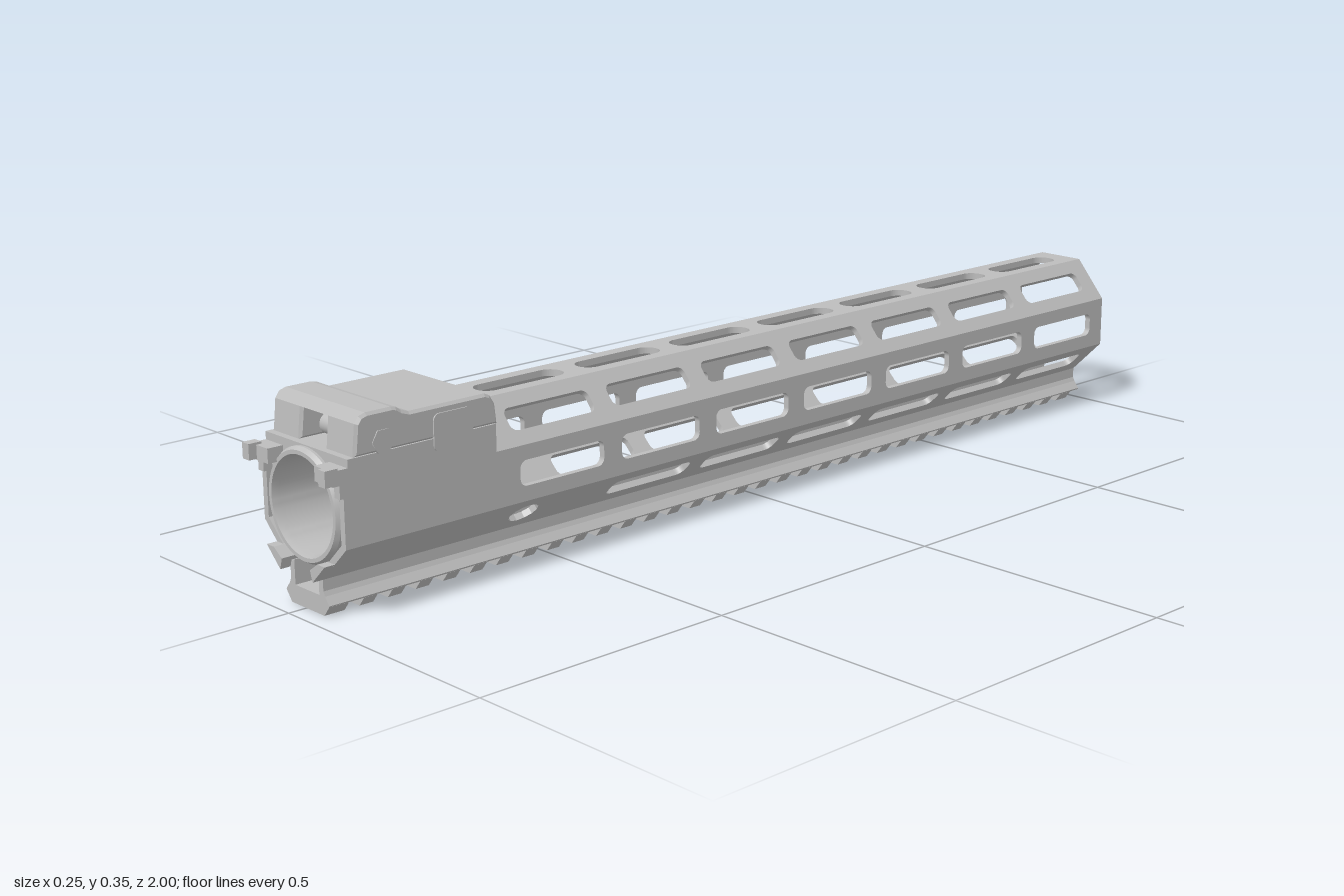
import * as THREE from 'three';
import { toCreasedNormals } from 'three/addons/utils/BufferGeometryUtils.js';

const metal = new THREE.MeshStandardMaterial({ color: 0xbcbcbc });
metal.name = 'grey metal';

const FRONT = 0.965, BACK = -1, WALL = 0.012, AXIS_Y = 0.177;

export function createModel() {
  const group = new THREE.Group();
  group.name = 'handguard';
  const body = new THREE.Group();
  body.name = 'body';
  body.position.x = 0.005;
  group.add(body);

  const add = (name, geo) => {
    const mesh = new THREE.Mesh(geo, metal);
    mesh.name = name;
    body.add(mesh);
  };
  const box = (name, x0, x1, y0, y1, z0, z1) => {
    const g = new THREE.BoxGeometry(Math.abs(x1 - x0), y1 - y0, z1 - z0);
    add(name, g.translate((x0 + x1) / 2, (y0 + y1) / 2, (z0 + z1) / 2));
  };
  const polygon = pts => new THREE.Shape(pts.map(p => new THREE.Vector2(...p)));

  // cross-section in x,y drawn out along z
  const alongZ = (name, shape, z0, z1) => {
    const g = new THREE.ExtrudeGeometry(shape, { depth: z1 - z0, bevelEnabled: false });
    add(name, g.translate(0, 0, z0));
  };
  // profile in z,y drawn out along x, with small chamfers on both ends
  const alongX = (name, shape, x0, x1, bevel = 0) => {
    const g = new THREE.ExtrudeGeometry(shape, {
      depth: x1 - x0 - 2 * bevel, bevelEnabled: bevel > 0, bevelSegments: 1,
      bevelSize: bevel, bevelThickness: bevel, bevelOffset: -bevel, curveSegments: 6,
    });
    add(name, g.rotateY(-Math.PI / 2).translate(x1 - bevel, 0, 0));
  };
  const roundedRect = (path, cx, cy, w, h, r) => {
    const x = w / 2 - r, y = h / 2 - r, q = Math.PI / 2;
    path.absarc(cx + x, cy + y, r, 0, q);
    path.absarc(cx - x, cy + y, r, q, 2 * q);
    path.absarc(cx - x, cy - y, r, 2 * q, 3 * q);
    path.absarc(cx + x, cy - y, r, 3 * q, 4 * q);
    path.closePath();
    return path;
  };
  const cylinderX = (name, r, x0, x1, y, z, sides = 24, rEnd = r) => {
    const g = new THREE.CylinderGeometry(r, rEnd, x1 - x0, sides);
    add(name, g.rotateZ(-Math.PI / 2).translate((x0 + x1) / 2, y, z));
  };

  // slotted wall panel between two corners of the octagon
  const slotCentres = Array.from({ length: 7 }, (_, i) => 0.511 - i * 0.2295);
  const panel = (name, a, b, front, slotWidth, radius, roundFront) => {
    const u = new THREE.Vector3(b[0] - a[0], b[1] - a[1], 0);
    const w = u.length();
    u.normalize();
    const shape = polygon([[0, BACK], [w, BACK], [w, front], [0, front]]);
    slotCentres.forEach((z, i) => {
      const hole = new THREE.Path();
      if (roundFront && i === 0) hole.absellipse(w / 2, 0.573, 0.026, 0.03, 0, Math.PI * 2);
      else roundedRect(hole, w / 2, z, slotWidth, 0.188, radius);
      shape.holes.push(hole);
    });
    const g = new THREE.ExtrudeGeometry(shape, { depth: WALL, bevelEnabled: false, curveSegments: 6 });
    g.translate(0, 0, -WALL);
    const m = new THREE.Matrix4().makeBasis(u, new THREE.Vector3(0, 0, 1), new THREE.Vector3(u.y, -u.x, 0));
    m.setPosition(a[0], a[1], 0);
    add(name, g.applyMatrix4(m));
  };
  const right = [[0.046, 0.062], [0.115, 0.129], [0.115, 0.229], [0.05, 0.305]];
  const corners = [...right, ...right.map(([x, y]) => [-x, y]).reverse()];
  const widths = [0.044, 0.046, 0.044, 0.05, 0.044, 0.046, 0.044];
  const names = ['leftLowerWall', 'leftWall', 'leftUpperWall', 'topWall', 'rightUpperWall', 'rightWall', 'rightLowerWall'];
  names.forEach((name, i) => {
    const upper = i > 1 && i < 5;
    panel(name, corners[i], corners[i + 1], upper ? 0.86 : FRONT, widths[i], i === 3 ? 0.024 : 0.014, i === 0 || i === 6);
  });

  // rail channel under the tube
  const outer = [[0.046, 0.068], [0.046, 0.042], [0.05, 0.034], [0.061, 0.02], [0.0595, 0.017]];
  const inner = [[0.034, 0.033], [0.034, 0.077]];
  const half = [...outer.slice().reverse(), ...inner.slice().reverse()];
  const flip = pts => pts.map(([x, y]) => [-x, y]).reverse();
  alongZ('railChannel', polygon([...half, ...flip(half)]), BACK, FRONT);

  // rail teeth, the end ones longer
  const tooth = polygon([[-0.046, 0], [0.046, 0], [0.06, 0.0175], [-0.06, 0.0175]]);
  for (let i = 0; i < 34; i++) {
    const z1 = 0.953 - i * 0.0574;
    alongZ('railTooth', tooth, z1 - (i === 33 ? 0.034 : 0.0275), i === 0 ? FRONT : z1);
  }

  // barrel nut: a stepped ring inside the front
  const nut = [
    [0.07, 0.63], [0.094, 0.63], [0.099, 0.636], [0.099, 0.96], [0.094, 0.968],
    [0.087, 0.968], [0.084, 0.955], [0.084, 0.86], [0.073, 0.859], [0.07, 0.85], [0.07, 0.63],
  ].map(p => new THREE.Vector2(...p));
  const nutGeo = new THREE.LatheGeometry(nut, 64).rotateX(Math.PI / 2).translate(0, AXIS_Y, 0);
  add('barrelNut', toCreasedNormals(nutGeo, 0.5));

  // shoulders that close the corners between the nut and the clamp
  for (const s of [1, -1]) {
    const pts = [[s * 0.115, 0.205], [s * 0.115, 0.278], [0, 0.278]];
    for (let i = 0; i <= 16; i++) {
      const a = THREE.MathUtils.degToRad(90 - i * 4.6);
      pts.push([s * 0.099 * Math.cos(a), AXIS_Y + 0.099 * Math.sin(a)]);
    }
    alongZ('clampShoulder', polygon(pts), 0.655, 0.955);
  }

  // clamp block: two square-backed sides and a middle with a sloped back and recessed front
  const slope = [[0.625, 0.277], [0.625, 0.303], [0.642, 0.306], [0.655, 0.314]];
  const top = [
    [0.664, 0.328], [0.675, 0.333], [0.83, 0.333], [0.845, 0.338], [0.855, 0.345],
    [0.865, 0.347], [0.915, 0.347], [0.928, 0.343], [0.936, 0.332],
  ];
  const side = polygon([[0.65, 0.277], [0.654, 0.312], ...top, [0.942, 0.277]].reverse());
  const notched = polygon([...slope, ...top, [0.875, 0.332], [0.865, 0.322], [0.865, 0.277]].reverse());
  alongX('clampLeft', side, 0.035, 0.115, 0.005);
  alongX('clampRight', side, -0.115, -0.035, 0.005);
  alongX('clampMiddle', notched, -0.042, 0.042);

  // cross bolts with heads on the right and nuts on the left
  for (const [y, z] of [[0.295, 0.885], [0.28, 0.735]]) {
    cylinderX('boltShank', 0.018, -0.112, 0.112, y, z);
    cylinderX('boltHead', 0.028, -0.125, -0.113, y, z);
    cylinderX('boltHeadCap', 0.021, -0.13, -0.125, y, z, 24, 0.017);
    cylinderX('boltNut', 0.022, 0.112, 0.117, y, z, 6);
  }
  // raised nut plate on the left of the clamp
  alongX('nutPlate', roundedRect(new THREE.Shape(), 0.745, 0.287, 0.08, 0.065, 0.012), 0.112, 0.1175);

  // locating tabs at the front, mirrored
  const lowerTab = [[0.046, 0.062], [0.082, 0.097], [0.062, 0.097], [0.04, 0.082]];
  for (const s of [1, -1]) {
    box('upperTab', s * 0.066, s * 0.115, 0.238, 0.264, 0.935, 0.985);
    box('tabHook', s * 0.098, s * 0.1165, 0.24, 0.268, 0.975, 1.0);
    box('tabSide', s * 0.1, s * 0.115, 0.215, 0.264, 0.93, 0.972);
    alongZ('lowerTab', polygon(s > 0 ? lowerTab : flip(lowerTab)), 0.94, 0.985);
  }
  return group;
}
